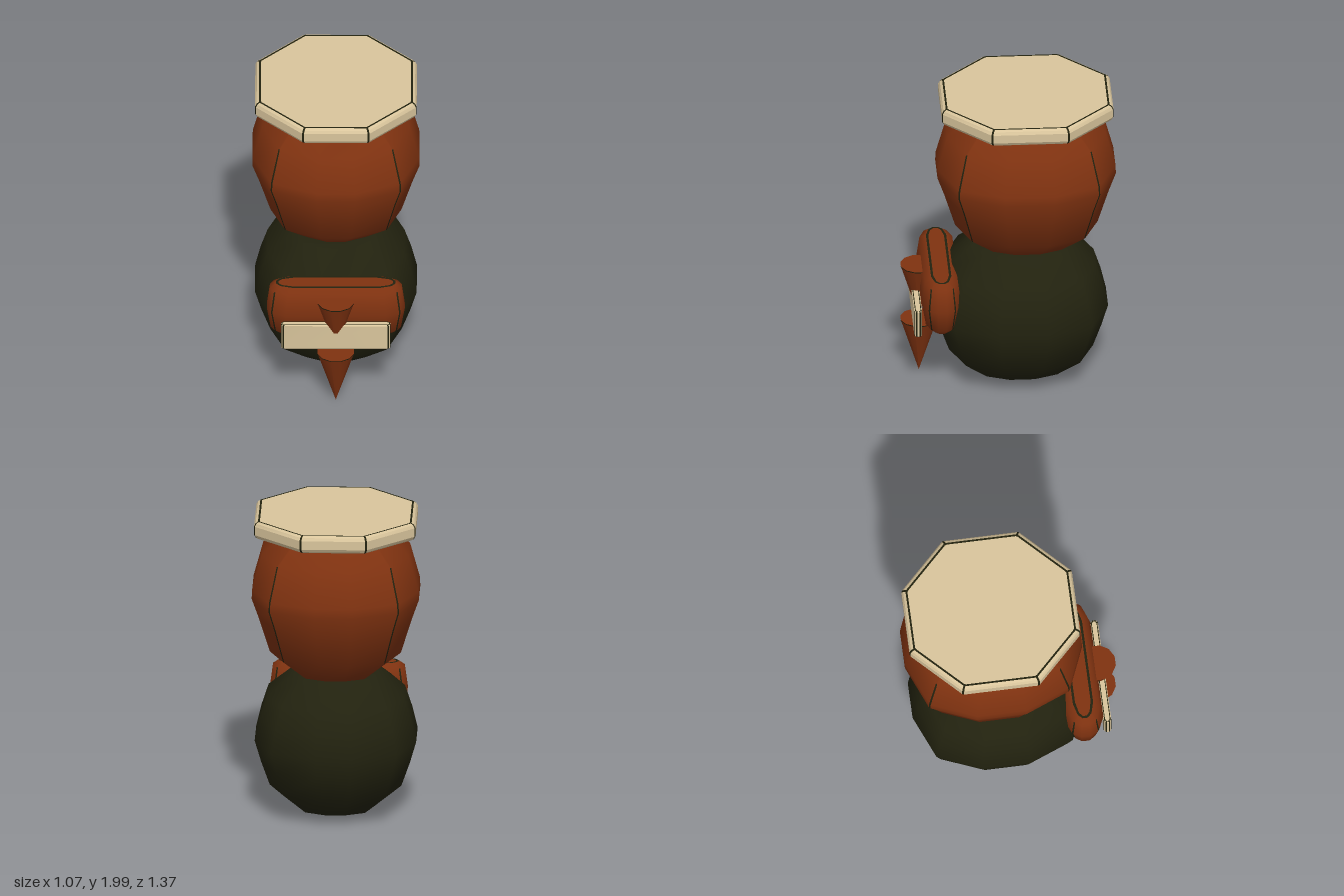
import * as THREE from 'three';
import { toCreasedNormals } from 'three/addons/utils/BufferGeometryUtils.js';

const paint = (name, color) => {
  const m = new THREE.MeshStandardMaterial({ color });
  m.name = name;
  return m;
};

// Complete a plan outline from its +x half, listed front to back
const mirrored = (half) => [...half, ...half.map(([x, z]) => [-x, z]).reverse()];

// Stack a plan outline through levels [y, inset].
// seams: outline corners split into narrow dark strips between seamRange levels
// bands: level indices whose whole ring is dark
function loft(outline, levels, { seams = [], seamRange = [0, 99], seamWidth = 0.007, bands = [], crease = 1 } = {}) {
  const hx = Math.max(...outline.map((p) => p[0]));
  const hz = Math.max(...outline.map((p) => p[1]));
  const pts = [], dark = [];
  outline.forEach((p, i) => {
    if (!seams.includes(i)) { pts.push(p); dark.push(false); return; }
    const n = outline.length;
    [outline[(i + n - 1) % n], outline[(i + 1) % n]].forEach((q, k) => {
      const t = seamWidth / Math.hypot(q[0] - p[0], q[1] - p[1]);
      pts.push([p[0] + (q[0] - p[0]) * t, p[1] + (q[1] - p[1]) * t]);
      dark.push(k === 0);
    });
  });

  const n = pts.length, pos = [], base = [], line = [];
  const addRing = ([y, inset]) => {
    const start = pos.length / 3;
    pts.forEach(([x, z]) => pos.push(x * (1 - inset / hx), y, z * (1 - inset / hz)));
    return start;
  };
  const rings = levels.map(addRing);
  for (let j = 0; j < levels.length - 1; j++) {
    for (let i = 0; i < n; i++) {
      const k = (i + 1) % n;
      const a = rings[j] + i, b = rings[j] + k, c = rings[j + 1] + k, d = rings[j + 1] + i;
      const seam = dark[i] && j >= seamRange[0] && j < seamRange[1];
      (seam || bands.includes(j) ? line : base).push(a, b, c, a, c, d);
    }
  }
  const bottom = addRing(levels[0]), top = addRing(levels[levels.length - 1]);
  for (let i = 1; i < n - 1; i++) {
    base.push(bottom, bottom + i + 1, bottom + i, top, top + i, top + i + 1);
  }

  const geo = new THREE.BufferGeometry();
  geo.setAttribute('position', new THREE.Float32BufferAttribute(pos, 3));
  geo.setIndex([...base, ...line]);
  geo.addGroup(0, base.length, 0);
  geo.addGroup(base.length, line.length, 1);
  return toCreasedNormals(geo, crease);
}

export function createModel() {
  const model = new THREE.Group();
  const rust = paint('rust', 0x7f3210);
  const cream = paint('cream', 0xd9c59c);
  const dark = paint('dark olive', 0x22220f);

  const add = (name, geo, mat, y = 0, z = 0, parent = model) => {
    const mesh = new THREE.Mesh(geo, mat);
    mesh.name = name;
    mesh.position.set(0, y, z);
    parent.add(mesh);
    return mesh;
  };

  // Lower and upper faceted balls
  const ballPlan = (hx, hz) => mirrored([
    [0.23, 1], [0.775, 0.79], [1, 0.28], [1, -0.28], [0.775, -0.79], [0.23, -1],
  ].map(([x, z]) => [x * hx, z * hz]));

  add('lowerBall', loft(ballPlan(0.515, 0.555), [
    [0.045, 0.27], [0.2, 0.095], [0.36, 0.04], [0.5, 0], [0.65, 0.035], [0.79, 0.08], [0.935, 0.25],
  ]), [dark, dark], 0, -0.08);

  add('upperBall', loft(ballPlan(0.533, 0.57), [
    [0.95, 0.29], [1.1, 0.115], [1.33, 0.045], [1.46, 0], [1.52, 0.003], [1.75, 0.065], [1.89, 0.215],
  ], { seams: [1, 4, 7, 10], seamRange: [1, 5] }), [rust, dark], 0, -0.115);

  // Octagonal slab on top
  const slabPlan = mirrored([[0.21, 0.548], [0.515, 0.245], [0.515, -0.245], [0.21, -0.548]]);
  add('topSlab', loft(slabPlan, [
    [1.886, 0.037], [1.886, 0.025], [1.896, 0.01], [1.915, 0], [1.971, 0], [1.99, 0.01], [2, 0.025], [2, 0.037],
  ], { seams: [0, 1, 2, 3, 4, 5, 6, 7], bands: [0, 6], crease: 0.35 }), [cream, dark], 0, -0.117);

  // Rounded block on the front
  const blockPlan = mirrored([
    [0.32, 0.125], [0.41, 0.085], [0.44, 0.03], [0.44, -0.03], [0.41, -0.085], [0.32, -0.125],
  ]);
  add('frontBlock', loft(blockPlan, [
    [0.467, 0.075], [0.467, 0.06], [0.5, 0.025], [0.65, 0], [0.8, 0.02], [0.83, 0.06], [0.83, 0.075],
  ], { seams: [1, 4, 7, 10], seamRange: [2, 4], bands: [0, 5] }), [rust, dark], 0, 0.44);

  // Cream plate in front of the block
  const platePlan = mirrored([[0.335, 0.025], [0.35, 0.012], [0.35, -0.012], [0.335, -0.025]]);
  add('frontPlate', loft(platePlan, [
    [0.43, 0.01], [0.43, 0.005], [0.436, 0], [0.609, 0], [0.615, 0.005], [0.615, 0.01],
  ], { seams: [0, 1, 2, 3, 4, 5, 6, 7], seamWidth: 0.005, bands: [0, 4], crease: 0.5 }), [cream, dark], 0, 0.59);

  // Downward spikes with a thin dark rim
  [['upperSpike', 0.4], ['lowerSpike', 0.01]].forEach(([name, tip]) => {
    const spike = new THREE.Group();
    spike.name = name;
    spike.position.set(0, tip, 0.567);
    spike.rotation.y = Math.PI / 12;
    model.add(spike);
    const cone = new THREE.CylinderGeometry(0.12, 0.0005, 0.375, 12);
    add('spikeCone', cone, rust, 0.1875, 0, spike);
    add('spikeRim', new THREE.CylinderGeometry(0.1215, 0.1195, 0.007, 12, 1, true), dark, 0.3715, 0, spike);
  });

  return model;
}
